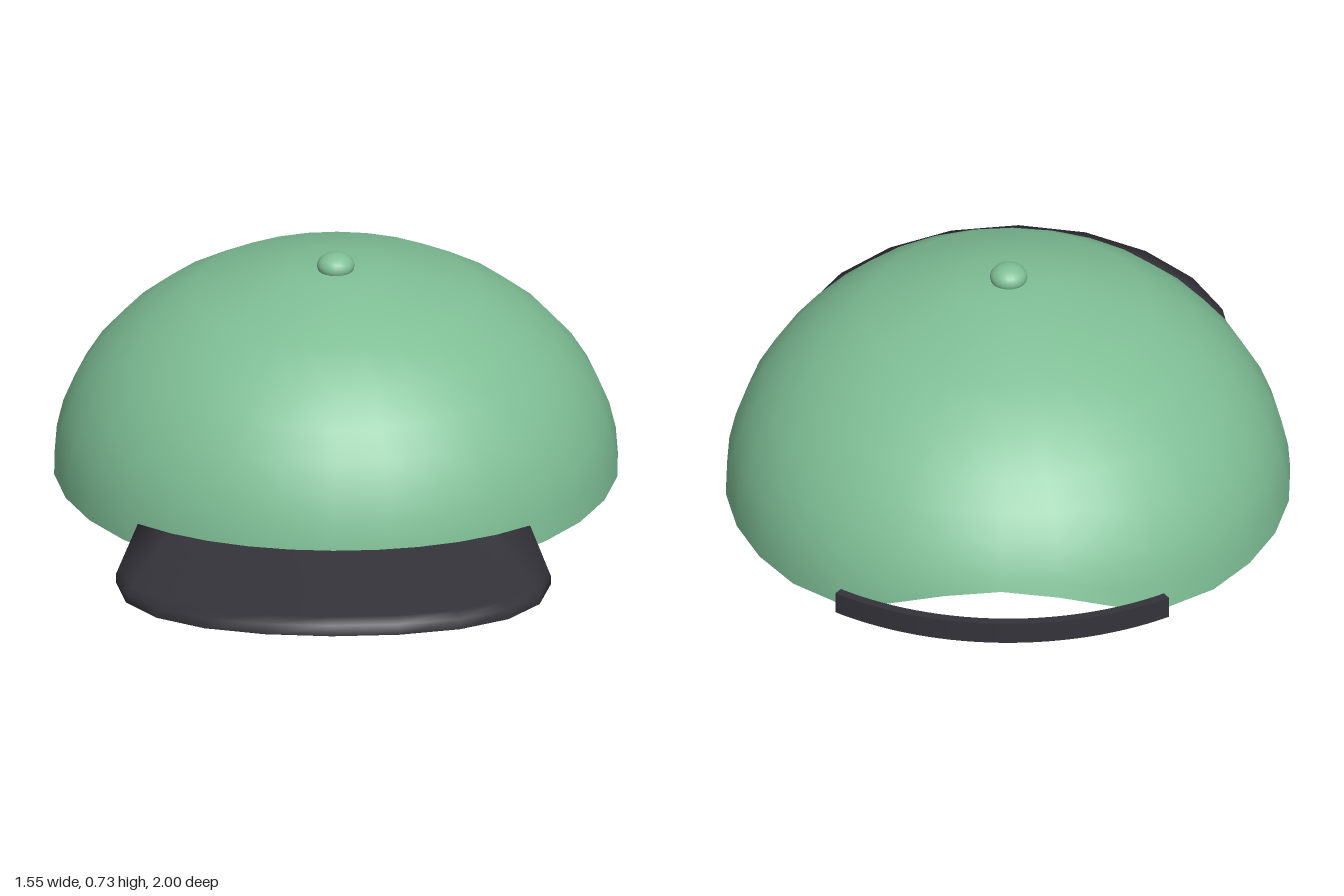
import * as THREE from 'three';
import { toCreasedNormals } from 'three/addons/utils/BufferGeometryUtils.js';

// Surface from a grid of points: u runs right and v runs up, seen from outside.
function gridSurface(nu, nv, pointAt, crease) {
  const positions = [];
  const index = [];
  for (let v = 0; v <= nv; v++) {
    for (let u = 0; u <= nu; u++) positions.push(...pointAt(u, v));
  }
  for (let v = 0; v < nv; v++) {
    for (let u = 0; u < nu; u++) {
      const a = v * (nu + 1) + u;
      const c = a + nu + 1;
      index.push(a, a + 1, c, a + 1, c + 1, c);
    }
  }
  const geometry = new THREE.BufferGeometry();
  geometry.setAttribute('position', new THREE.Float32BufferAttribute(positions, 3));
  geometry.setIndex(index);
  return toCreasedNormals(geometry, crease);
}

export function createModel() {
  const green = new THREE.MeshStandardMaterial({ color: 0x7fbf96, side: THREE.DoubleSide });
  green.name = 'green cloth';
  const dark = new THREE.MeshStandardMaterial({ color: 0x34333a });
  dark.name = 'dark trim';

  const group = new THREE.Group();
  group.name = 'cap';
  const add = (name, geometry, material) => {
    const mesh = new THREE.Mesh(geometry, material);
    mesh.name = name;
    group.add(mesh);
    return mesh;
  };

  // Crown: a thin half ellipsoid, leaning slightly forward, with an arch cut at the back
  const sides = 30, rings = 8;
  add('crown', gridSurface(sides, rings + 1, (u, v) => {
    const angle = (u % sides) / sides * Math.PI * 2;
    const t = Math.min(v / rings, 1);
    const fromBack = Math.abs(angle - Math.PI) / (Math.PI / 4);
    const arch = fromBack < 1 ? 0.14 * Math.cos(fromBack * Math.PI / 2) ** 2 : 0;
    const y = 0.06 + 0.62 * t + arch * (1 - t) ** 3;
    const h = (y - 0.06) / 0.63;
    const r = v > rings ? 0 : 0.781 * Math.sqrt(1 - h * h);
    return [r * Math.sin(angle), y, -0.197 + 0.06 * h * h + r * Math.cos(angle)];
  }, 1.2), green);

  // Button on top
  const button = add('button', new THREE.SphereGeometry(1, 20, 12), green);
  button.scale.set(0.052, 0.036, 0.052);
  button.position.set(0, 0.691, -0.125);

  // Visor: sections swept from left to right, closed at both ends
  const steps = 10;
  const visorSection = (step) => {
    const s = step / steps;
    const outer = Math.PI * s;
    const inner = Math.PI * (0.25 + 0.5 * s);
    const xo = 0.6 * Math.cos(outer), zo = 0.53 + 0.47 * Math.sin(outer);
    const xi = 0.765 * Math.cos(inner), zi = -0.19 + 0.78 * Math.sin(inner);
    const drop = Math.cos(outer) ** 2;
    const atEnd = step === 0 || step === steps;
    const outerTop = [xo, 0.105 - 0.057 * drop, zo];
    const innerTop = [xi, 0.148 - 0.023 * (xi / 0.54) ** 2, zi];
    const innerBottom = [xi, atEnd ? 0 : 0.064, zi];
    const outerBottom = [xo, 0.073 - 0.05 * drop, zo];
    const nearRim = (rim, root) => rim.map((value, k) => THREE.MathUtils.lerp(value, root[k], 0.12));
    return [
      outerTop, nearRim(outerTop, innerTop), innerTop,
      innerBottom, nearRim(outerBottom, innerBottom), outerBottom,
    ];
  };
  add('visor', gridSurface(6, steps + 2, (u, v) => {
    const corners = visorSection(THREE.MathUtils.clamp(v - 1, 0, steps));
    if (v > 0 && v < steps + 2) return corners[u % 6];
    return [0, 1, 2].map((k) => corners.reduce((sum, p) => sum + p[k] / 6, 0));
  }, 1.5), dark);

  // Back strap: a curved band across the arch
  const half = 0.591;
  const band = new THREE.Shape();
  band.absarc(0, 0.174, 0.826, Math.PI / 2 - half, Math.PI / 2 + half, false);
  band.absarc(0, 0.174, 0.8, Math.PI / 2 + half, Math.PI / 2 - half, true);
  band.closePath();
  const strap = new THREE.ExtrudeGeometry(band, { depth: 0.063, bevelEnabled: false, curveSegments: 14 });
  strap.rotateX(-Math.PI / 2).translate(0, 0.061, 0);
  add('backStrap', toCreasedNormals(strap, 0.7), dark);

  return group;
}
